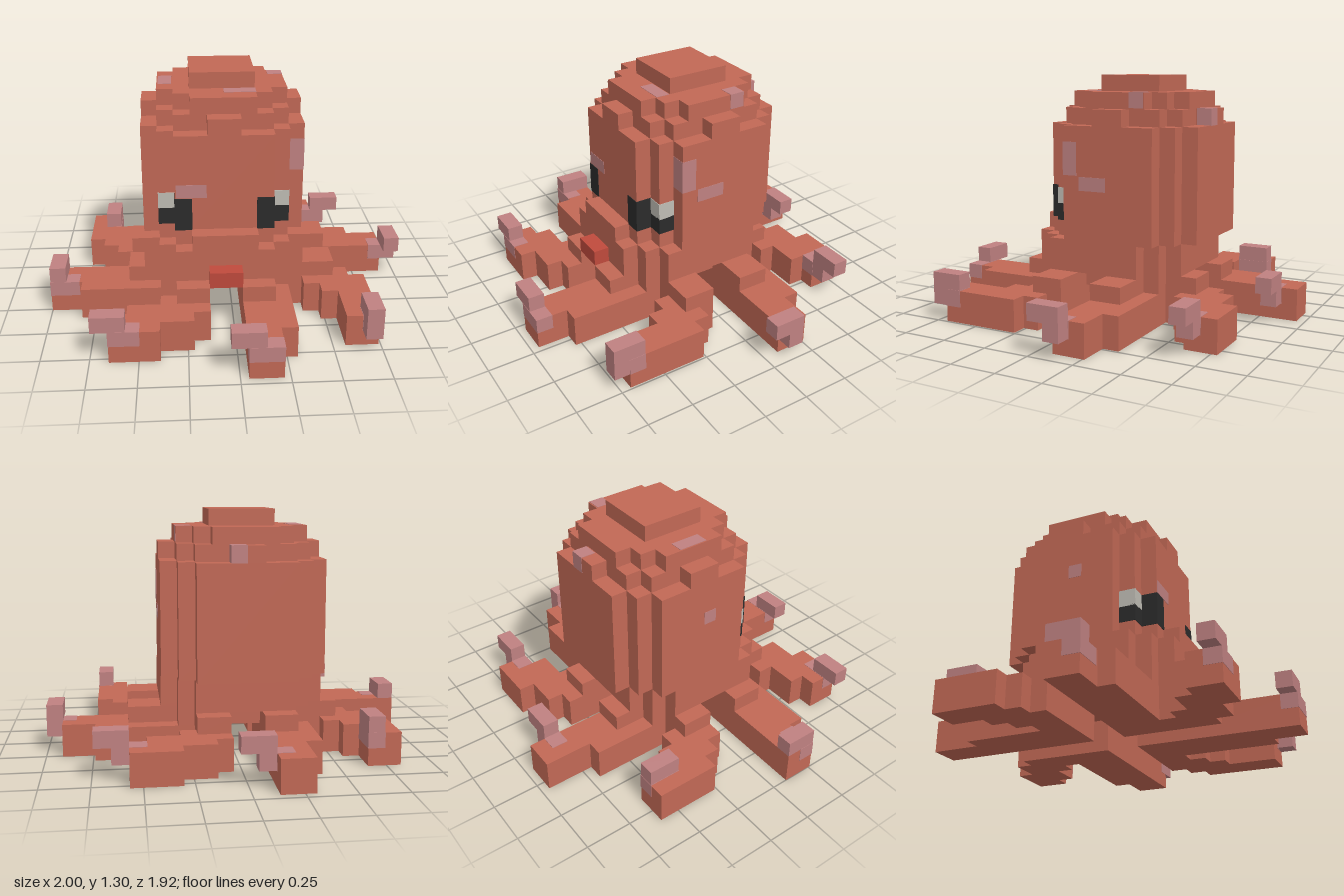
import * as THREE from 'three';
import { mergeGeometries } from 'three/addons/utils/BufferGeometryUtils.js';

const U = 2 / 23; // size of one block; the grid is 23 x 15 x 22 blocks

const mat = (name, color) => {
  const m = new THREE.MeshStandardMaterial({ color });
  m.name = name;
  return m;
};

// One box from grid ranges, grown by e units on every side
function block([x0, x1, y0, y1, z0, z1], e) {
  const g = new THREE.BoxGeometry((x1 - x0) * U + 2 * e, (y1 - y0) * U + 2 * e, (z1 - z0) * U + 2 * e);
  g.translate(((x0 + x1) / 2 - 11.5) * U, ((y0 + y1) / 2) * U, ((z0 + z1) / 2 - 11) * U);
  return g;
}

// Stepped round slab: overlapping rectangles given by half sizes
const slab = (y0, y1, cz, halves) =>
  halves.map(([a, b]) => [11 - a, 11 + a, y0, y1, cz - b, cz + b]);

// Sweep a 2 x 2 block brush along floor points, one box per step
const sweep = (path) => path.slice(1).map(([x, z], i) => {
  const [px, pz] = path[i];
  return [Math.min(x, px), Math.max(x, px) + 2, 0, 2, Math.min(z, pz), Math.max(z, pz) + 2];
});

export function createModel() {
  const skin = mat('terracotta skin', 0xc16855);
  const pink = mat('pale pink', 0xbf8181);
  const red = mat('mouth red', 0xbf4a3c);
  const black = mat('eye black', 0x2b2b2b);
  const white = mat('eye white', 0xbfbcb4);

  const root = new THREE.Group();
  root.name = 'octopus';
  const group = (name) => {
    const g = new THREE.Group();
    g.name = name;
    root.add(g);
    return g;
  };
  const part = (name, material, boxes, e = 0, parent = root) => {
    const mesh = new THREE.Mesh(mergeGeometries(boxes.map((b) => block(b, e))), material);
    mesh.name = name;
    parent.add(mesh);
  };

  // Head: stepped dome
  const round = [[5, 3], [4, 4], [3, 5]];
  part('head', skin, [
    ...slab(5, 12, 10, round),
    ...slab(12, 13, 10, [[5, 1], [4, 3], [3, 4], [1, 5]]),
    ...slab(13, 14, 10, [[4, 2], [3, 3], [2, 4]]),
    ...slab(14, 15, 10, [[2, 2]]),
  ]);

  // Lower face, one block further forward, and the base with tentacle roots
  part('lowerFace', skin, [...slab(3, 5, 11, round), [9, 13, 5, 6, 11, 16]]);
  part('base', skin, [
    ...slab(2, 3, 11, [[4, 4]]),
    ...[8, 12].flatMap((s) => [[5, 18, 2, 3, s, s + 2], [s, s + 2, 2, 3, 5, 17]]),
  ]);
  part('mouth', red, [[10, 12, 3, 4, 16, 17]]);

  // Eyes wrap the front corners of the head
  for (const side of [-1, 1]) {
    const eye = group(side > 0 ? 'leftEye' : 'rightEye');
    const span = (a, b) => (side > 0 ? [11 + a, 11 + b] : [11 - b, 11 - a]);
    part('pupil', black, [[...span(2, 3), 6, 8, 14, 15], [...span(3, 4), 6, 7, 13, 14]], 0.003, eye);
    part('eyeWhite', white, [[...span(3, 4), 7, 8, 13, 14]], 0.003, eye);
  }

  // Tentacle: swept arm, curled tip blocks, and a painted patch on the arm's end
  const tentacle = (name, path, tip, paint) => {
    const g = group(name);
    part('arm', skin, sweep(path), 0, g);
    part('tip', pink, tip, 0, g);
    part('tipPaint', pink, [paint], 0.002, g);
  };
  tentacle('backRightTentacle', [[8, 0], [8, 8], [7, 6], [7, 3]],
    [[10, 12, 2, 3, 1, 2], [10, 11, 1, 2, 1, 2]], [9, 10, 1, 2, 1, 2]);
  tentacle('backLeftTentacle', [[16, 2], [15, 2], [15, 3], [13, 3], [13, 4], [12, 4], [12, 8]],
    [[18, 20, 2, 3, 3, 4], [18, 19, 1, 2, 3, 4]], [17, 18, 1, 2, 3, 4]);
  tentacle('leftRearTentacle', [[20, 8], [14, 8], [15, 7], [18, 7]],
    [[22, 23, 2, 3, 9, 11], [22, 23, 1, 2, 9, 10]], [21.2, 22, 1, 2, 9, 10]);
  tentacle('leftFrontTentacle', [[12, 12], [16, 12], [16, 13], [17, 13], [17, 14], [18, 14], [18, 17]],
    [[19, 20, 2, 3, 18, 20], [19, 20, 1, 2, 19, 20]], [19, 20, 1, 2, 18, 19]);
  tentacle('frontLeftTentacle', [[12, 20], [12, 14], [13, 15], [13, 18]],
    [[11, 13, 2, 3, 21, 22]], [12, 14, 1.1, 2, 21, 22]);
  tentacle('frontRightTentacle', [[8, 12], [8, 16], [7, 16], [7, 17], [5, 17], [5, 18], [4, 18]],
    [[3, 5, 2, 3, 19, 20]], [4, 5.8, 1.1, 2, 19, 20]);
  tentacle('rightFrontTentacle', [[0, 12], [8, 12], [6, 13], [2, 13]],
    [[0, 1, 2, 3, 12, 14]], [0, 1.8, 1.1, 2, 13, 14]);
  tentacle('rightRearTentacle', [[2, 4], [2, 6], [3, 6], [3, 7], [4, 7], [4, 8], [8, 8]],
    [[3, 4, 2, 3, 4, 6]], [3, 4, 1.1, 2, 4, 6]);

  // Pale spots painted on the head as thin shells
  part('headSpots', pink, [
    [8.1, 9.9, 8.1, 8.9, 14.97, 15],      // forehead
    [15, 16, 9, 11, 12.1, 13],            // left side, wrapping the corner
    [15.97, 16, 8.1, 8.9, 10.1, 11.9],    // left side
    [14.1, 15, 13.1, 14, 8.1, 9],         // left crown
    [11.1, 13, 13.97, 14, 12.1, 12.9],    // front crown
    [7.1, 7.9, 13.97, 14, 9.1, 10.9],     // right crown
    [11.1, 12, 12, 13, 5, 5.9],           // back crown
    [6, 6.03, 9.1, 9.9, 10.1, 10.9],      // right side
  ], 0.002);

  return root;
}
